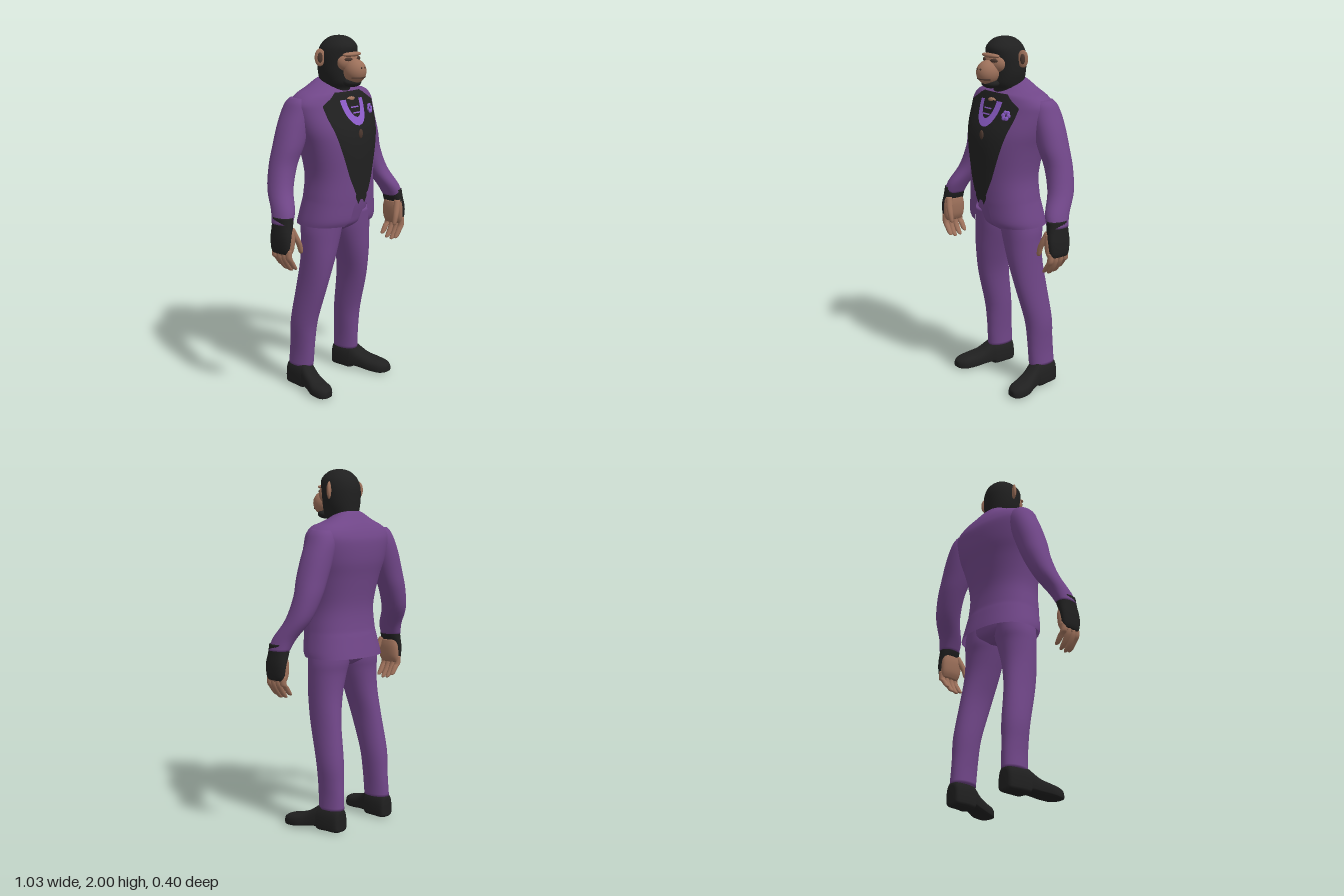
import * as THREE from 'three';

const mat = (name, color, side = THREE.FrontSide) => {
  const m = new THREE.MeshStandardMaterial({ color, side });
  m.name = name;
  return m;
};
const spow = (v, e) => Math.sign(v) * Math.abs(v) ** e;

// Skin a list of rings (arrays of [x, y, z]) with smooth normals.
function skin(rings, closed, caps) {
  const n = rings[0].length, pos = rings.flat(2), idx = [];
  for (let i = 0; i < rings.length - 1; i++) {
    for (let j = 0; j < (closed ? n : n - 1); j++) {
      const k = (j + 1) % n, a = i * n + j, b = i * n + k;
      idx.push(a, b, b + n, a, b + n, a + n);
    }
  }
  if (caps) [0, rings.length - 1].forEach((r, end) => {
    const c = pos.length / 3;
    for (let d = 0; d < 3; d++) pos.push(rings[r].reduce((s, p) => s + p[d], 0) / n);
    for (let j = 0; j < n; j++) {
      const a = r * n + j, b = r * n + (j + 1) % n;
      end ? idx.push(a, b, c) : idx.push(b, a, c);
    }
  });
  const g = new THREE.BufferGeometry();
  g.setAttribute('position', new THREE.Float32BufferAttribute(pos, 3));
  g.setIndex(idx);
  g.computeVertexNormals();
  return g;
}

// Catmull-Rom refinement of a table of rows.
function refine(rows, k = 4) {
  const out = [], at = i => rows[Math.max(0, Math.min(rows.length - 1, i))];
  for (let i = 0; i < rows.length - 1; i++) {
    for (let s = 0; s < k; s++) {
      const t = s / k;
      out.push(rows[i].map((b, c) => {
        const a = at(i - 1)[c], d = at(i + 1)[c], e = at(i + 2)[c];
        return b + 0.5 * t * (d - a + t * (2 * a - 5 * b + 4 * d - e + t * (3 * (b - d) + e - a)));
      }));
    }
  }
  out.push(rows.at(-1));
  return out;
}

// Horizontal section from [y, centreX, halfWidth, zFront, zBack, frontGap, tilt].
function section([y, cx, rx, zf, zb, gap = 0, tilt = 0], n, seg, open) {
  const zc = (zf + zb) / 2, rz = (zf - zb) / 2, ring = [];
  const a0 = Math.asin(Math.min(1, Math.max(0, gap) / rx) ** (n / 2));
  for (let j = 0; j < (open ? seg + 1 : seg); j++) {
    const a = a0 + (2 * Math.PI - 2 * a0) * j / seg;
    const dz = rz * spow(Math.cos(a), 2 / n);
    ring.push([cx + rx * spow(Math.sin(a), 2 / n), y - tilt * dz, zc + dz]);
  }
  return ring;
}
const limb = (rows, n = 2, seg = 28) => skin(refine(rows).map(r => section(r, n, seg)), true, true);

// Jacket profile, bottom to top.
const BODY_N = 2.3;
const body = refine([
  [0.965, 0, 0.24, 0.16, -0.185, 0.1, 0],
  [1.0, 0, 0.237, 0.175, -0.178, 0.075, 0],
  [1.08, 0, 0.222, 0.18, -0.16, 0.05, 0],
  [1.13, 0, 0.215, 0.182, -0.15, 0, 0],
  [1.25, 0, 0.207, 0.182, -0.145, 0, 0],
  [1.4, 0, 0.235, 0.18, -0.17, 0, 0],
  [1.5, 0, 0.265, 0.163, -0.192, 0, 0],
  [1.6, 0, 0.285, 0.12, -0.197, 0, 0],
  [1.65, 0, 0.282, 0.1, -0.185, 0, 0],
  [1.69, 0, 0.24, 0.085, -0.165, 0, 0],
  [1.715, 0, 0.17, 0.07, -0.14, 0, 0.1],
  [1.745, 0, 0.1, 0.05, -0.105, 0, 0.3],
  [1.76, 0, 0.068, 0.03, -0.08, 0, 0.3]]);

const lerpRows = (rows, y) => {
  let i = 0;
  while (i < rows.length - 2 && rows[i + 1][0] < y) i++;
  const t = Math.max(0, Math.min(1, (y - rows[i][0]) / (rows[i + 1][0] - rows[i][0])));
  return rows[i].map((v, c) => v + (rows[i + 1][c] - v) * t);
};
function chestZ(x, y) {
  const [, , rx, zf, zb] = lerpRows(body, y);
  const u = Math.min(1, Math.abs(x) / rx);
  return (zf + zb) / 2 + (zf - zb) / 2 * (1 - u ** BODY_N) ** (1 / BODY_N);
}
// Thin panel lying on the chest; span(y) gives [x0, x1].
function panel(y0, y1, span, off, ny = 28, nx = 16) {
  const rings = [];
  for (let i = 0; i <= ny; i++) {
    const y = y0 + (y1 - y0) * i / ny, [a, b] = span(y), row = [];
    for (let j = 0; j <= nx; j++) {
      const x = a + (b - a) * j / nx;
      row.push([x, y, chestZ(x, y) + off]);
    }
    rings.push(row);
  }
  return skin(rings, false, false);
}

export function createModel() {
  const suit = mat('suit purple', 0x704688, THREE.DoubleSide);
  const black = mat('black fur and cloth', 0x202020, THREE.DoubleSide);
  const flesh = mat('skin', 0x9c705a);
  const dark = mat('dark brown', 0x4c382f);
  const violet = mat('bright violet', 0x8c5cc8, THREE.DoubleSide);

  const model = new THREE.Group();
  const add = (name, geo, m, parent = model) => {
    const mesh = new THREE.Mesh(geo, m);
    mesh.name = name;
    parent.add(mesh);
    return mesh;
  };
  const blob = (name, m, [x, y, z], [a, b, c], ry = 0, rx = 0) => {
    const s = add(name, new THREE.SphereGeometry(1, 28, 20), m);
    s.position.set(x, y, z);
    s.scale.set(a, b, c);
    s.rotation.set(rx, ry, 0);
  };

  // Jacket with cut-away front, and the trouser seat inside it
  add('jacket', skin(body.map(r => section(r, BODY_N, 72, true)), false, false), suit);
  add('trouserSeat', limb([[0.915, 0, 0.04, 0.05, -0.07], [0.95, 0, 0.15, 0.1, -0.12],
    [1.0, 0, 0.2, 0.115, -0.13], [1.08, 0, 0.195, 0.13, -0.125], [1.15, 0, 0.18, 0.13, -0.12]], 2.3), suit);

  // Waistcoat and lapels
  const edge = [[1.11, 0.03], [1.235, 0.085], [1.4, 0.137], [1.565, 0.187], [1.64, 0.2], [1.665, 0.15], [1.7, 0.1]];
  const half = y => lerpRows(edge, y)[1];
  add('waistcoat', panel(1.11, 1.7, y => [-half(y), half(y)], 0.005, 36, 28), black);
  for (const s of [1, -1]) {
    add('lapel', panel(1.15, 1.69, y => {
      const o = half(y), i = o * 0.45;
      return s > 0 ? [i, o] : [-o, -i];
    }, 0.01, 32, 10), black);
    add('waistcoatPoint', panel(1.085, 1.14, y => {
      const w = 0.022 * Math.min(1, (y - 1.085) / 0.04);
      return [s * 0.024 - w, s * 0.024 + w];
    }, 0.004, 8, 6), black);
  }

  // Neck scarf, pendant and flower
  const bowl = (w, top, low) => y => {
    const h = w * Math.sqrt(Math.max(0, 1 - ((top - y) / (top - low)) ** 2));
    return [-h, h];
  };
  add('scarf', panel(1.52, 1.66, bowl(0.09, 1.66, 1.52), 0.013), violet);
  add('scarfOpening', panel(1.565, 1.662, bowl(0.052, 1.662, 1.565), 0.018), black);
  for (const y of [1.585, 1.615]) add('scarfFold', panel(y, y + 0.007, () => [-0.03, 0.03], 0.021, 2, 6), violet);
  blob('throat', flesh, [0, 1.66, chestZ(0, 1.66) + 0.008], [0.03, 0.013, 0.014]);
  blob('pendant', dark, [0, 1.475, chestZ(0, 1.475) + 0.008], [0.015, 0.026, 0.008]);
  for (let i = 0; i < 6; i++) {
    const a = i * Math.PI / 3, x = 0.14 + 0.017 * Math.cos(a), y = 1.595 + 0.017 * Math.sin(a);
    blob('flowerPetal', violet, [x, y, chestZ(x, y) + 0.013], [0.012, 0.012, 0.006], 0.5);
  }

  // Head and neck
  add('head', limb([[1.58, 0, 0.085, 0.085, -0.08], [1.66, 0, 0.078, 0.08, -0.085], [1.71, 0, 0.073, 0.075, -0.09],
    [1.75, 0, 0.086, 0.1, -0.097], [1.8, 0, 0.1, 0.105, -0.102], [1.85, 0, 0.105, 0.108, -0.105],
    [1.9, 0, 0.104, 0.116, -0.103], [1.945, 0, 0.092, 0.12, -0.088], [1.98, 0, 0.062, 0.09, -0.055],
    [1.995, 0, 0.032, 0.06, -0.022], [2.0, 0, 0.008, 0.03, 0.01]], 2.1, 40), black);
  blob('face', flesh, [0, 1.862, 0.082], [0.08, 0.062, 0.052]);
  blob('brow', flesh, [0, 1.902, 0.112], [0.07, 0.014, 0.026]);
  blob('muzzle', flesh, [0, 1.813, 0.132], [0.06, 0.066, 0.066], 0, -0.15);
  blob('chin', black, [0, 1.752, 0.115], [0.055, 0.027, 0.045]);
  const mouth = add('mouth', new THREE.TorusGeometry(0.052, 0.004, 8, 24, Math.PI * 0.8), dark);
  mouth.rotation.set(Math.PI / 2, 0, Math.PI * 0.1);
  mouth.position.set(0, 1.782, 0.137);
  for (const s of [1, -1]) {
    blob('eye', dark, [s * 0.04, 1.878, 0.122], [0.024, 0.011, 0.008], s * 0.35);
    blob('nostril', dark, [s * 0.013, 1.835, 0.192], [0.006, 0.005, 0.004]);
    blob('ear', flesh, [s * 0.118, 1.885, -0.015], [0.029, 0.048, 0.012], s * 0.65);
    blob('earHollow', dark, [s * 0.124, 1.885, -0.008], [0.014, 0.028, 0.008], s * 0.65);
  }

  for (const s of [1, -1]) {
    const side = rows => rows.map(([y, cx, ...rest]) => [y, s * cx, ...rest]);
    const round = pts => limb(side(pts.map(([y, x, z, r]) => [y, x, r, z + r, z - r])), 2, 12);

    // Sleeve
    add('sleeve', limb(side([[1.035, 0.465, 0.046, 0.092, -0.035], [1.1, 0.44, 0.054, 0.08, -0.06],
      [1.2, 0.397, 0.064, 0.022, -0.123], [1.32, 0.35, 0.076, 0.0, -0.15], [1.42, 0.312, 0.084, 0.012, -0.155],
      [1.52, 0.275, 0.086, 0.015, -0.158], [1.6, 0.245, 0.08, 0.015, -0.155], [1.65, 0.23, 0.072, 0.01, -0.14],
      [1.675, 0.225, 0.055, -0.01, -0.12]]), 2.2), suit);

    // Hand
    add('handBack', limb(side([[0.875, 0.488, 0.014, 0.085, -0.02], [0.9, 0.488, 0.022, 0.098, -0.03],
      [0.96, 0.483, 0.03, 0.104, -0.035], [1.02, 0.467, 0.042, 0.096, -0.034], [1.07, 0.46, 0.045, 0.09, -0.034]]), 2.3), black);
    add('palm', limb(side([[0.865, 0.47, 0.022, 0.092, -0.022], [0.9, 0.462, 0.03, 0.104, -0.03],
      [0.96, 0.457, 0.03, 0.107, -0.03], [1.0, 0.457, 0.025, 0.1, -0.02]]), 2.3), flesh);
    [-0.015, 0.02, 0.055, 0.087].forEach((z, i) => {
      const d = [0.022, 0.004, 0, 0.012][i];
      add('finger', round([[0.768 + d, 0.425, z, 0.006], [0.778 + d, 0.434, z, 0.014], [0.815 + d, 0.46, z, 0.017],
        [0.855, 0.477, z, 0.018], [0.9, 0.478, z, 0.017]]), flesh);
    });
    add('thumb', round([[0.868, 0.396, 0.1, 0.006], [0.88, 0.399, 0.1, 0.013], [0.92, 0.41, 0.1, 0.016],
      [0.96, 0.428, 0.092, 0.019], [1.01, 0.448, 0.08, 0.018]]), flesh);

    // Trouser leg
    add('trouserLeg', limb(side([[0.125, 0.193, 0.055, -0.02, -0.182], [0.2, 0.19, 0.054, -0.015, -0.178],
      [0.28, 0.188, 0.058, -0.01, -0.172], [0.4, 0.185, 0.066, 0.005, -0.165], [0.6, 0.17, 0.068, 0.062, -0.135],
      [0.75, 0.148, 0.086, 0.09, -0.115], [0.87, 0.128, 0.106, 0.1, -0.115], [0.94, 0.118, 0.115, 0.105, -0.125],
      [1.02, 0.11, 0.11, 0.11, -0.125]]), 2.1), suit);

    // Shoe: sections along z as [z, centreX, halfWidth, bottom, top]
    const shoe = refine([[-0.182, 0.195, 0.03, 0.015, 0.11], [-0.168, 0.196, 0.048, 0, 0.135], [-0.1, 0.2, 0.056, 0, 0.147],
      [-0.045, 0.205, 0.056, 0, 0.142], [-0.035, 0.207, 0.055, 0.014, 0.138], [0.02, 0.224, 0.056, 0.012, 0.1],
      [0.08, 0.244, 0.063, 0.004, 0.078], [0.14, 0.254, 0.054, 0, 0.066], [0.17, 0.259, 0.033, 0.004, 0.052],
      [0.178, 0.26, 0.015, 0.012, 0.04]]);
    add('shoe', skin(shoe.map(([z, cx, w, lo, hi]) => {
      const ring = [];
      for (let j = 0; j < 28; j++) {
        const a = j / 28 * 2 * Math.PI, sn = Math.sin(a);
        const e = sn < 0 ? 0.35 : 0.8;
        ring.push([s * cx + w * spow(Math.cos(a), 0.7), Math.max(0, lo + (hi - lo) * (0.35 + (sn < 0 ? 0.35 : 0.65) * spow(sn, e))), z]);
      }
      return ring;
    }), true, true), black);
  }
  return model;
}
